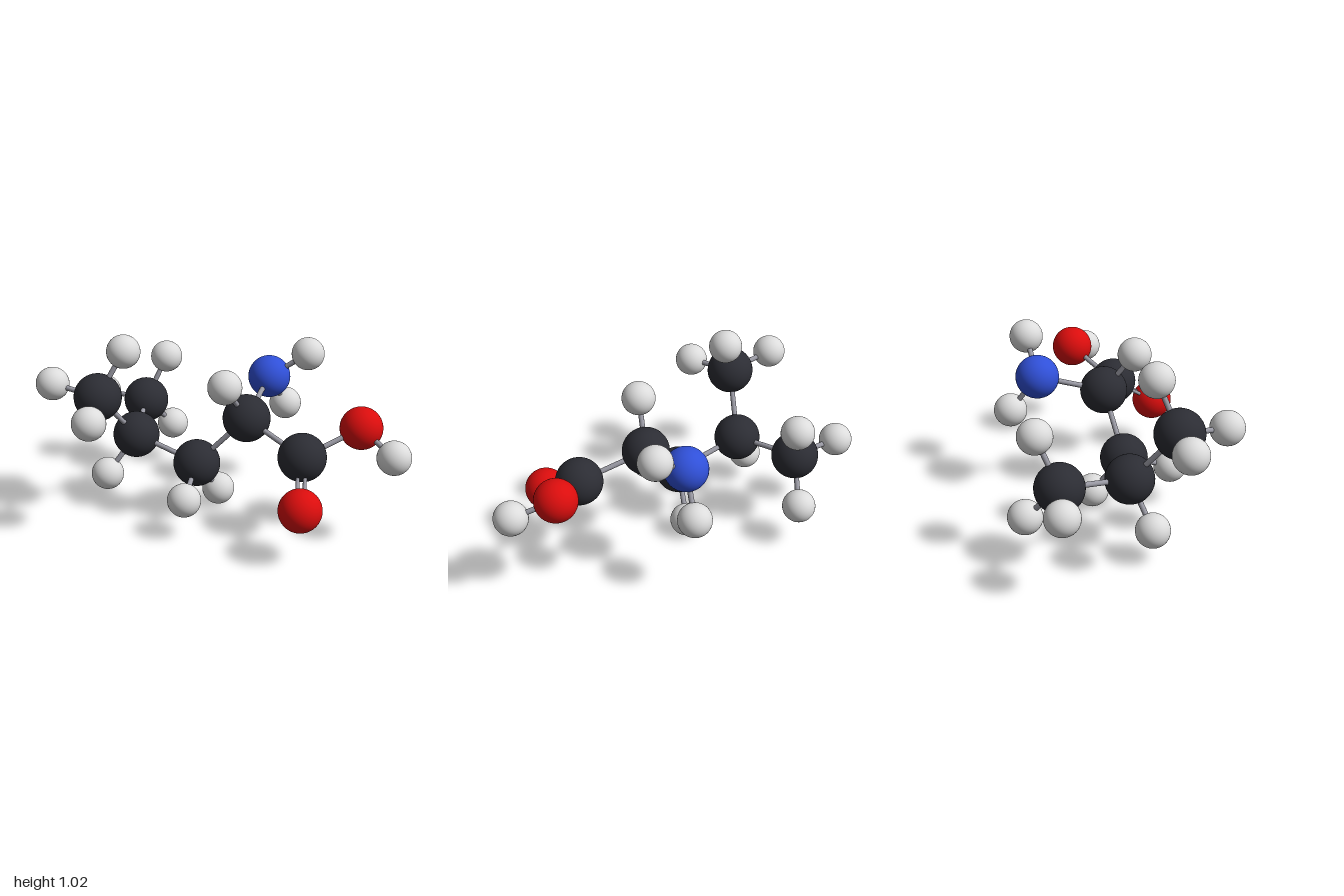
import * as THREE from 'three';

const paint = (name, color) => {
  const m = new THREE.MeshStandardMaterial({ color });
  m.name = name;
  return m;
};

export function createModel() {
  const model = new THREE.Group();
  model.name = 'moleculeModel';

  // One ball type per element: radius and colour
  const kinds = {
    carbon: { r: 0.126, mat: paint('charcoal', 0x2c2d34) },
    hydrogen: { r: 0.089, mat: paint('paleGrey', 0xdcdcdc) },
    nitrogen: { r: 0.115, mat: paint('blue', 0x3050d8) },
    oxygen: { r: 0.112, mat: paint('red', 0xdb0d0d) },
  };
  const rodMat = paint('rodGrey', 0x9a9aa4);
  for (const k of Object.values(kinds)) k.geo = new THREE.SphereGeometry(k.r, 40, 28);

  // Ball centres: name -> [kind, x, y, z]
  const atoms = {
    acidCarbon: ['carbon', 0.453, 0.473, 0.105],
    alphaCarbon: ['carbon', 0.107, 0.59, -0.005],
    betaCarbon: ['carbon', -0.152, 0.313, 0.062],
    gammaCarbon: ['carbon', -0.527, 0.402, 0.025],
    frontMethylCarbon: ['carbon', -0.634, 0.692, 0.245],
    backMethylCarbon: ['carbon', -0.638, 0.45, -0.337],
    amineNitrogen: ['nitrogen', 0.105, 0.695, -0.36],
    hydroxylOxygen: ['oxygen', 0.703, 0.594, -0.097],
    carbonylOxygen: ['oxygen', 0.526, 0.301, 0.346],
  };

  // Hydrogen centres grouped by the ball they hang from
  const hydrogens = {
    hydroxylOxygen: [[0.906, 0.506, 0.006]],
    amineNitrogen: [[0.313, 0.843, -0.394], [0.152, 0.487, -0.505]],
    alphaCarbon: [[0.046, 0.813, 0.15]],
    betaCarbon: [[-0.115, 0.219, 0.32], [-0.094, 0.093, -0.1]],
    gammaCarbon: [[-0.666, 0.18, 0.118]],
    frontMethylCarbon: [[-0.521, 0.93, 0.152], [-0.552, 0.66, 0.502], [-0.906, 0.725, 0.237]],
    backMethylCarbon: [[-0.548, 0.247, -0.5], [-0.912, 0.455, -0.357], [-0.55, 0.692, -0.44]],
  };

  const bonds = [
    ['acidCarbon', 'alphaCarbon'],
    ['acidCarbon', 'hydroxylOxygen'],
    ['alphaCarbon', 'amineNitrogen'],
    ['alphaCarbon', 'betaCarbon'],
    ['betaCarbon', 'gammaCarbon'],
    ['gammaCarbon', 'frontMethylCarbon'],
    ['gammaCarbon', 'backMethylCarbon'],
  ];

  const centre = {};
  const addBall = (name, kind, position) => {
    const ball = new THREE.Mesh(kinds[kind].geo, kinds[kind].mat);
    ball.name = name;
    ball.position.copy(position);
    model.add(ball);
  };
  const up = new THREE.Vector3(0, 1, 0);
  const addRod = (name, a, b, radius = 0.014) => {
    const along = b.clone().sub(a);
    const rod = new THREE.Mesh(new THREE.CylinderGeometry(radius, radius, along.length(), 16), rodMat);
    rod.name = name;
    rod.position.copy(a).add(b).multiplyScalar(0.5);
    rod.quaternion.setFromUnitVectors(up, along.normalize());
    model.add(rod);
  };

  // Heavy balls and the rods between them
  for (const [name, [kind, x, y, z]] of Object.entries(atoms)) {
    centre[name] = new THREE.Vector3(x, y, z);
    addBall(name, kind, centre[name]);
  }
  for (const [a, b] of bonds) addRod('bond', centre[a], centre[b]);

  // Double bond: two thin rods side by side
  const a = centre.acidCarbon, b = centre.carbonylOxygen;
  const side = b.clone().sub(a).cross(up).normalize();
  for (const s of [-0.018, 0.018]) {
    addRod('doubleBond', a.clone().addScaledVector(side, s), b.clone().addScaledVector(side, s), 0.01);
  }

  // Hydrogens with their rods
  for (const [parent, list] of Object.entries(hydrogens)) {
    for (const p of list) {
      const end = new THREE.Vector3(...p);
      addBall('hydrogen', 'hydrogen', end);
      addRod('hydrogenBond', centre[parent], end);
    }
  }
  return model;
}
